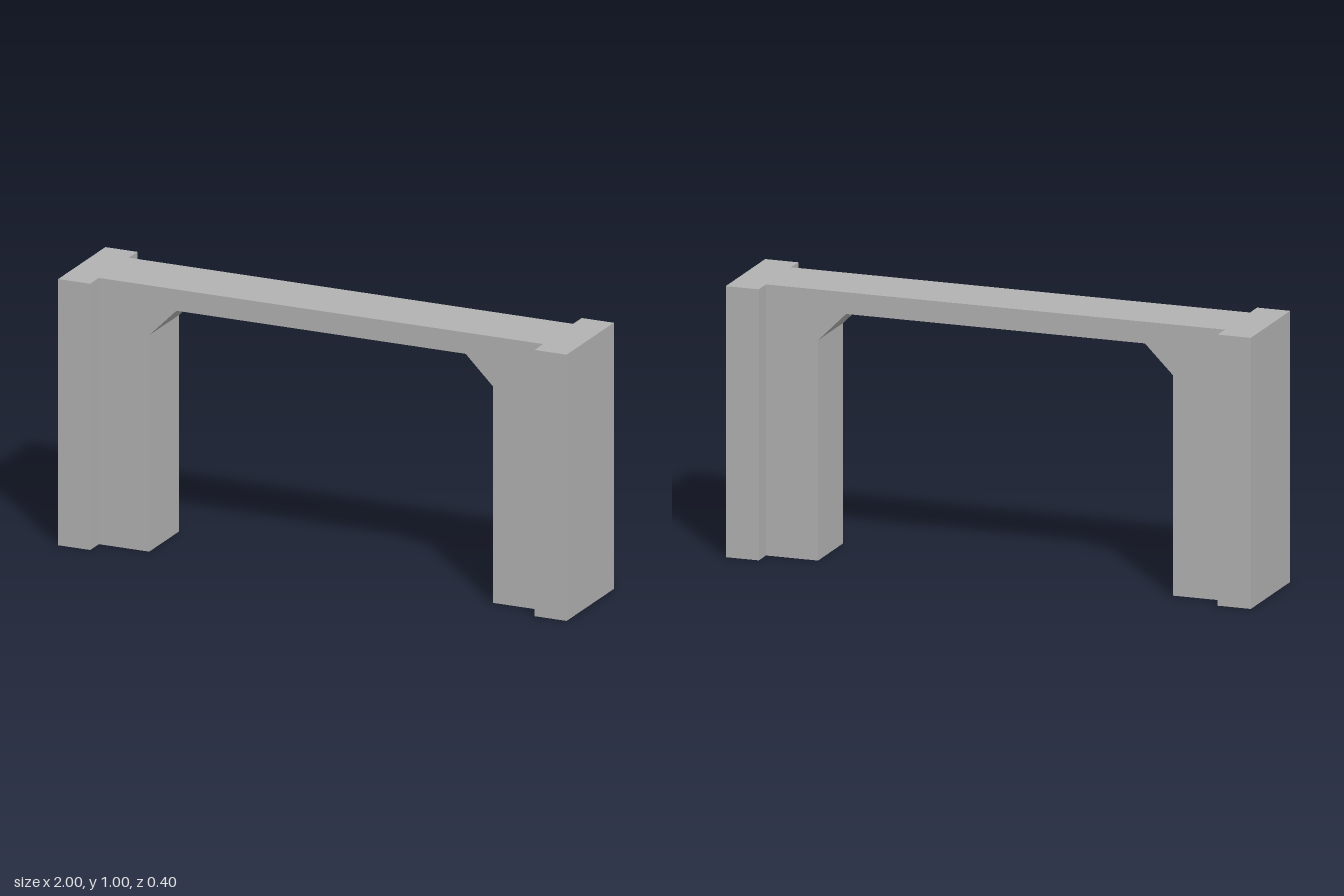
import * as THREE from 'three';

const HEIGHT = 1;
const PILLAR_INNER = 0.874;  // inner face of the end pillars
const PILLAR_DEPTH = 0.396;
const WEB_DEPTH = 0.251;     // thinner central frame

export function createModel() {
  const model = new THREE.Group();
  model.name = 'archway';
  const concrete = new THREE.MeshStandardMaterial({ color: 0xb2b2b2 });
  concrete.name = 'concrete grey';

  // Portal frame: two legs and a lintel with chamfered inner corners
  const half = [[PILLAR_INNER, HEIGHT], [PILLAR_INNER, 0], [0.676, 0], [0.676, 0.813], [0.569, 0.92]];
  const mirrored = half.map(([x, y]) => [-x, y]).reverse();
  const outline = [...half, ...mirrored].map(([x, y]) => new THREE.Vector2(x, y));
  const frameGeometry = new THREE.ExtrudeGeometry(new THREE.Shape(outline), {
    depth: WEB_DEPTH, bevelEnabled: false,
  });
  frameGeometry.translate(0, 0, -WEB_DEPTH / 2);
  const frame = new THREE.Mesh(frameGeometry, concrete);
  frame.name = 'portalFrame';
  model.add(frame);

  // Deeper pillars closing both ends
  const width = 1 - PILLAR_INNER;
  for (const [side, name] of [[1, 'leftPillar'], [-1, 'rightPillar']]) {
    const pillar = new THREE.Mesh(new THREE.BoxGeometry(width, HEIGHT, PILLAR_DEPTH), concrete);
    pillar.position.set(side * (1 - width / 2), HEIGHT / 2, 0);
    pillar.name = name;
    model.add(pillar);
  }
  return model;
}
